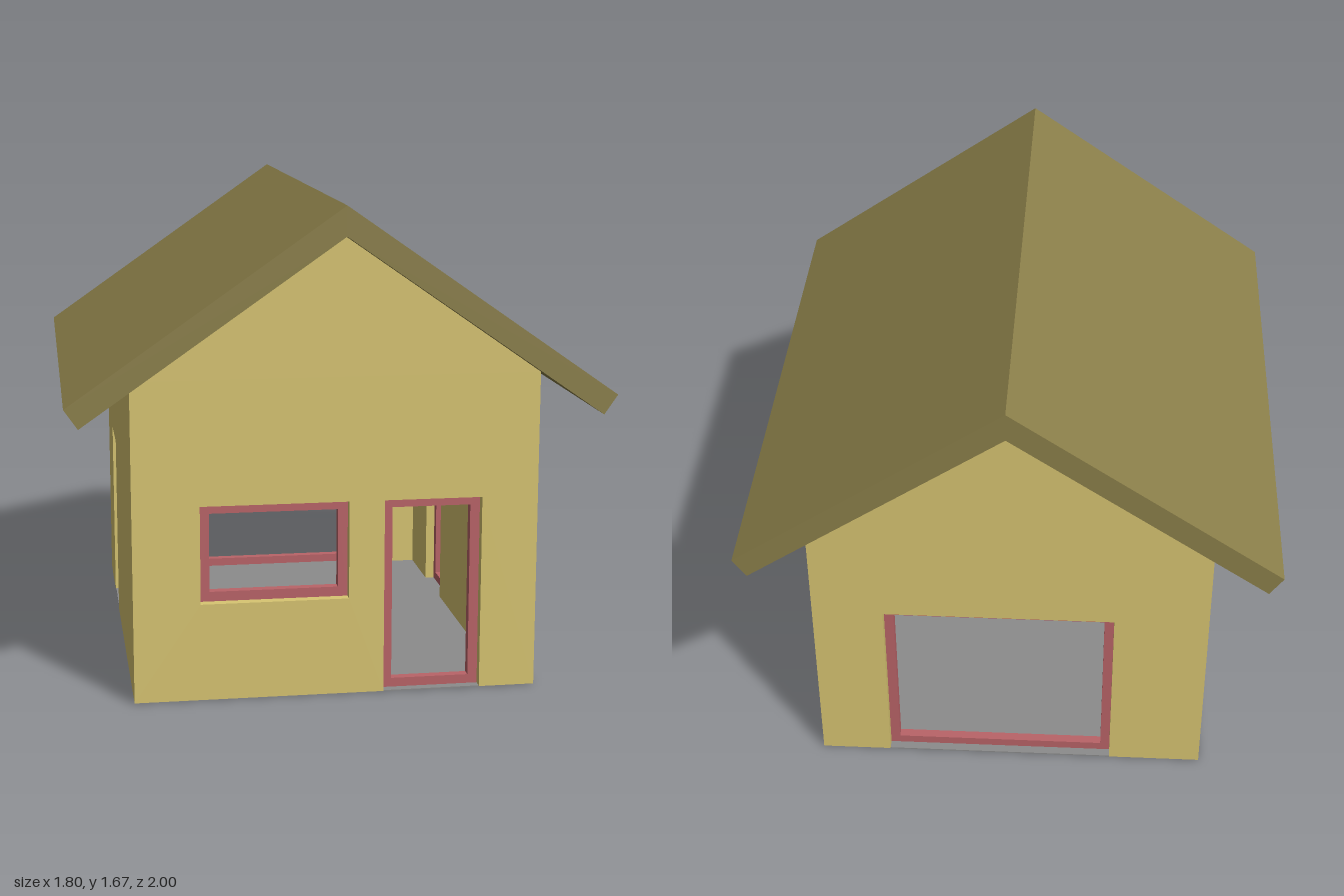
import * as THREE from 'three';

const WALL = 0.1, FRAME = 0.033, BASE = 0.002;
const HALF_X = 0.685, HALF_Z = 0.835, RIDGE = 1.57, PITCH = 0.697;

const material = (color) => new THREE.MeshStandardMaterial({ color, flatShading: true });

// Extrude a shape along z, centred on z = 0
function slab(shape, depth, mat, name) {
  const geometry = new THREE.ExtrudeGeometry(shape, { depth, bevelEnabled: false });
  geometry.translate(0, 0, -depth / 2);
  const mesh = new THREE.Mesh(geometry, mat);
  mesh.name = name;
  return mesh;
}

const polygon = (points) => new THREE.Shape(points.map(([x, y]) => new THREE.Vector2(x, y)));

const rect = ([x0, x1, y0, y1]) => [[x0, y0], [x1, y0], [x1, y1], [x0, y1]];

const hole = (box) => new THREE.Path(rect(box).reverse().map(([x, y]) => new THREE.Vector2(x, y)));

// Wall with one doorway notched into its base, an optional window, and their frames
function wall(name, halfWidth, top, door, window, mats) {
  const group = new THREE.Group();
  group.name = name;
  const [x0, x1, y0, y1] = door;
  const shape = polygon([
    [-halfWidth, BASE], [x0, y0], [x0, y1], [x1, y1], [x1, y0], [halfWidth, BASE], ...top,
  ]);
  if (window) shape.holes.push(hole(window));
  group.add(slab(shape, WALL, mats.wall, name + 'Panel'));

  const openings = [['doorFrame', door], ['windowFrame', window]];
  for (const [label, box] of openings) {
    if (!box) continue;
    const ring = polygon(rect(box));
    const [a, b, c, d] = box;
    ring.holes.push(hole([a + FRAME, b - FRAME, c + FRAME, d - FRAME]));
    group.add(slab(ring, FRAME, mats.frame, label));
  }
  return group;
}

export function createModel() {
  const model = new THREE.Group();
  model.name = 'house';
  const mats = { wall: material(0xd8c572), frame: material(0xba6468) };

  // Gable walls, front and back
  const eave = RIDGE - PITCH * HALF_X;
  const gable = [[HALF_X, eave], [0, RIDGE], [-HALF_X, eave]];
  const front = wall('frontWall', HALF_X, gable,
    [0.16, 0.493, BASE, 0.67], [-0.46, 0.04, 0.335, 0.67], mats);
  front.position.z = HALF_Z - WALL / 2;
  const back = wall('backWall', HALF_X, gable, [-0.36, 0.44, BASE, 0.67], null, mats);
  back.position.z = -HALF_Z + WALL / 2;

  // Side walls between the gables, tops hidden inside the roof
  const sideHalf = HALF_Z - WALL;
  const sideTop = [[sideHalf, 1.17], [-sideHalf, 1.17]];
  const right = wall('rightWall', sideHalf, sideTop, [0.2, 0.467, BASE, 0.67], null, mats);
  const left = wall('leftWall', sideHalf, sideTop, [0.235, 0.502, BASE, 0.67], null, mats);
  right.rotation.y = left.rotation.y = Math.PI / 2;
  right.position.x = HALF_X - WALL / 2;
  left.position.x = -right.position.x;

  // Pitched roof with overhangs
  const roof = slab(polygon([
    [0, RIDGE], [0.855, 0.975], [0.9, 1.04], [0, 1.668], [-0.9, 1.04], [-0.855, 0.975],
  ]), 2, material(0x8c804a), 'roof');

  // Thin floor
  const floor = new THREE.Mesh(
    new THREE.BoxGeometry(HALF_X * 2 - 0.004, 0.004, HALF_Z * 2 - 0.004), material(0x8c8c8c));
  floor.name = 'floor';
  floor.position.y = 0.002;

  model.add(front, back, right, left, roof, floor);
  return model;
}
